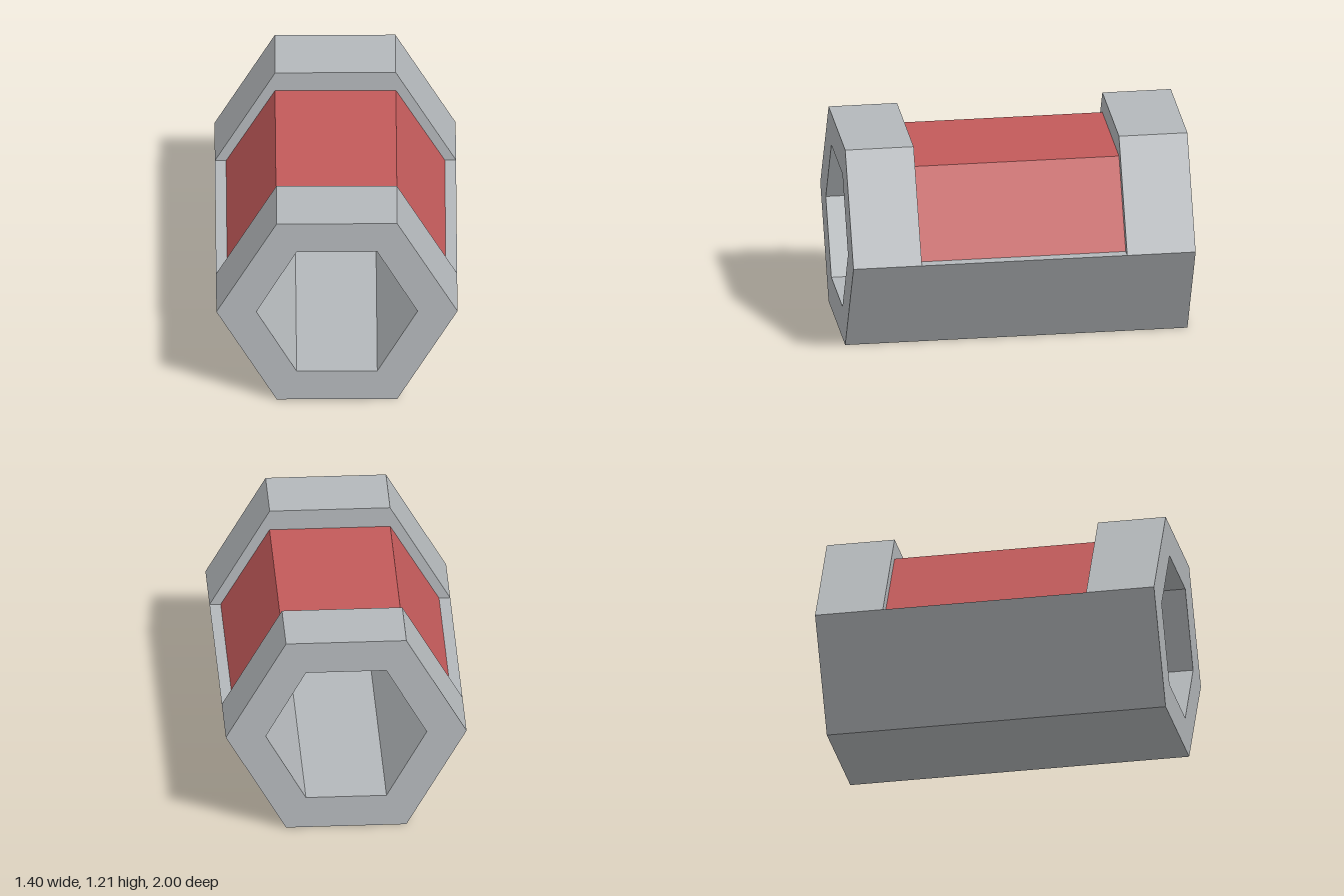
import * as THREE from 'three';

const CY = 0.606;      // height of the tube axis
const END = 1;         // half length
const COLLAR = 0.6;    // inner face of each end collar

const grey = new THREE.MeshStandardMaterial({ color: 0xb4b8bb });
grey.name = 'metal grey';
const red = new THREE.MeshStandardMaterial({ color: 0xc25a5a });
red.name = 'sleeve red';

// Hexagon corners, counter-clockwise from +x, in tube-axis coordinates
const hexagon = (r, a) => [[r, 0], [r / 2, a], [-r / 2, a], [-r, 0], [-r / 2, -a], [r / 2, -a]];

const outer = hexagon(0.698, CY);
const inner = hexagon(0.467, 0.412);
const saddle = [[0.633, 0], [0.35, 0.483], [-0.35, 0.483], [-0.633, 0]];

// Flat-shaded walls swept along z; they face outward for counter-clockwise points
function walls(points, z0, z1) {
  const v = [];
  for (let i = 0; i < points.length - 1; i++) {
    const [px, py] = points[i], [qx, qy] = points[i + 1];
    v.push(px, py, z1, px, py, z0, qx, qy, z0);
    v.push(px, py, z1, qx, qy, z0, qx, qy, z1);
  }
  const g = new THREE.BufferGeometry();
  g.setAttribute('position', new THREE.Float32BufferAttribute(v, 3));
  g.computeVertexNormals();
  return g;
}

const toShape = (points) => new THREE.Shape(points.map(([x, y]) => new THREE.Vector2(x, y)));

export function createModel() {
  const group = new THREE.Group();
  group.name = 'hexagonalTube';

  const add = (name, geometry, material) => {
    const mesh = new THREE.Mesh(geometry, material);
    mesh.name = name;
    mesh.position.y = CY;
    group.add(mesh);
    return mesh;
  };

  // Lower half runs the whole length; the bore is lined in the same grey
  add('lowerBody', walls([...outer.slice(3), outer[0]], -END, END), grey);
  add('bore', walls([...inner, inner[0]].reverse(), -END, END), grey);

  // Recessed red sleeve between the collars
  add('sleeve', walls(saddle, -COLLAR, COLLAR), red);

  // Narrow ledges beside the sleeve
  add('leftLedge', walls([outer[0], saddle[0]], -COLLAR, COLLAR), grey);
  add('rightLedge', walls([saddle[3], outer[3]], -COLLAR, COLLAR), grey);

  // End rings and the collar shoulders that face the sleeve
  const ring = toShape(outer);
  ring.holes.push(new THREE.Path(toShape(inner).getPoints()));
  const shoulder = toShape([...outer.slice(0, 4), ...saddle.slice().reverse()]);

  for (const [side, s] of [['front', 1], ['back', -1]]) {
    const z0 = Math.min(s * COLLAR, s * END), z1 = Math.max(s * COLLAR, s * END);
    add(side + 'Collar', walls(outer.slice(0, 4), z0, z1), grey);

    const face = add(side + 'Ring', new THREE.ShapeGeometry(ring), grey);
    face.position.z = s * END;
    face.rotation.y = s > 0 ? 0 : Math.PI;

    const step = add(side + 'Shoulder', new THREE.ShapeGeometry(shoulder), grey);
    step.position.z = s * COLLAR;
    step.rotation.y = s > 0 ? Math.PI : 0;
  }

  return group;
}
